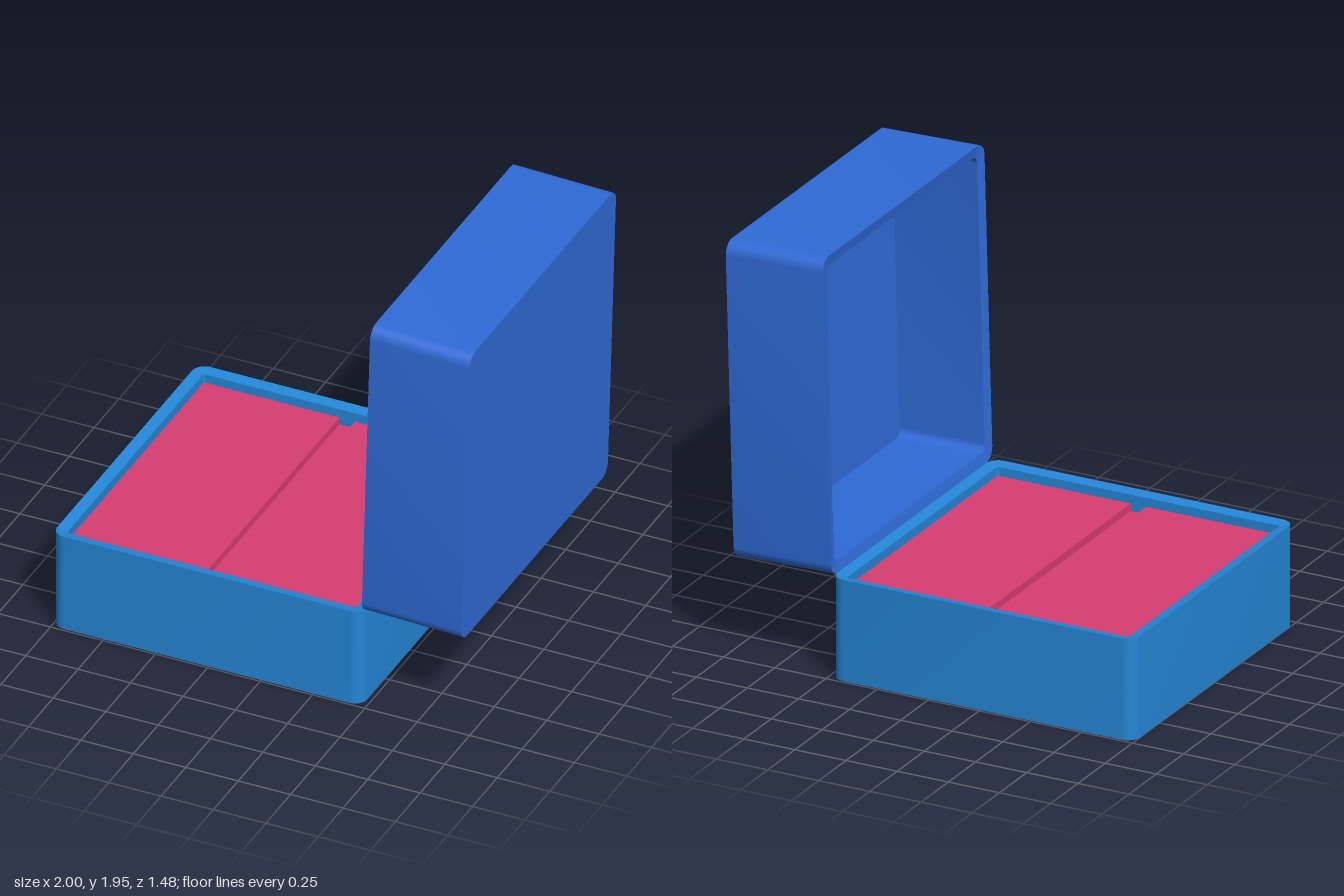
import * as THREE from 'three';
import { toCreasedNormals } from 'three/addons/utils/BufferGeometryUtils.js';

const HALF = 0.74, HEIGHT = 0.475, WALL = 0.05;
const CORNER_STEPS = 8;

// Outline of a square with rounded corners, as [x, z] points
function roundedSquare(half, radius) {
  const points = [];
  for (let corner = 0; corner < 4; corner++) {
    const mid = (corner + 0.5) * Math.PI / 2;
    const cx = Math.sign(Math.cos(mid)) * (half - radius);
    const cz = Math.sign(Math.sin(mid)) * (half - radius);
    for (let i = 0; i <= CORNER_STEPS; i++) {
      const a = (corner + i / CORNER_STEPS) * Math.PI / 2;
      points.push([cx + radius * Math.cos(a), cz + radius * Math.sin(a)]);
    }
  }
  return points;
}

// Open tray: underside, outer wall, inward-sloping rim, inner wall, floor
function trayGeometry(innerRadius) {
  const inner = HALF - WALL;
  const sections = [
    [0, 0, 0],
    [HALF, 0.06, 0],
    [HALF, 0.06, HEIGHT],
    [inner, innerRadius, HEIGHT - 0.01],
    [inner, innerRadius, WALL],
    [0, 0, WALL],
  ];
  const positions = [], indices = [];
  const n = 4 * (CORNER_STEPS + 1);
  sections.forEach(([half, radius, y], s) => {
    for (const [x, z] of roundedSquare(half, radius)) positions.push(x, y, z);
    if (s === 0) return;
    for (let i = 0; i < n; i++) {
      const j = (i + 1) % n;
      const a = (s - 1) * n + i, b = (s - 1) * n + j;
      const c = s * n + i, d = s * n + j;
      if (s > 1) indices.push(a, c, b);
      if (s < sections.length - 1) indices.push(b, c, d);
    }
  });
  const geometry = new THREE.BufferGeometry();
  geometry.setAttribute('position', new THREE.Float32BufferAttribute(positions, 3));
  geometry.setIndex(indices);
  return toCreasedNormals(geometry, Math.PI / 6);
}

export function createModel() {
  const baseBlue = new THREE.MeshStandardMaterial({ color: 0x2486d6 });
  baseBlue.name = 'base blue';
  const lidBlue = new THREE.MeshStandardMaterial({ color: 0x2f6ad6 });
  lidBlue.name = 'lid blue';
  const pink = new THREE.MeshStandardMaterial({ color: 0xd63d71 });
  pink.name = 'cushion pink';

  const model = new THREE.Group();
  model.name = 'jewelleryBox';

  const add = (parent, name, geometry, material, x, y, z = 0) => {
    const mesh = new THREE.Mesh(geometry, material);
    mesh.name = name;
    mesh.position.set(x, y, z);
    parent.add(mesh);
    return mesh;
  };

  // Base tray
  add(model, 'base', trayGeometry(0.012), baseBlue, HALF - 1, 0);

  // Cushion: two pads with a shallow slot between them
  const pads = [
    ['cushionRight', -0.947, -0.3, 0.425],
    ['cushionSlot', -0.3, -0.225, 0.39],
    ['cushionLeft', -0.225, 0.427, 0.425],
  ];
  for (const [name, x0, x1, top] of pads) {
    const geometry = new THREE.BoxGeometry(x1 - x0, top - WALL, 1.374);
    add(model, name, geometry, pink, (x0 + x1) / 2, (top + WALL) / 2);
  }

  // Lid: a tray swung open just past upright around the hinge edge
  const hinge = new THREE.Group();
  hinge.name = 'lidHinge';
  hinge.position.set(2 * HALF - 1, HEIGHT, 0);
  hinge.rotation.z = THREE.MathUtils.degToRad(88.4);
  add(hinge, 'lid', trayGeometry(0.04), lidBlue, HALF, -HEIGHT);
  model.add(hinge);

  return model;
}
